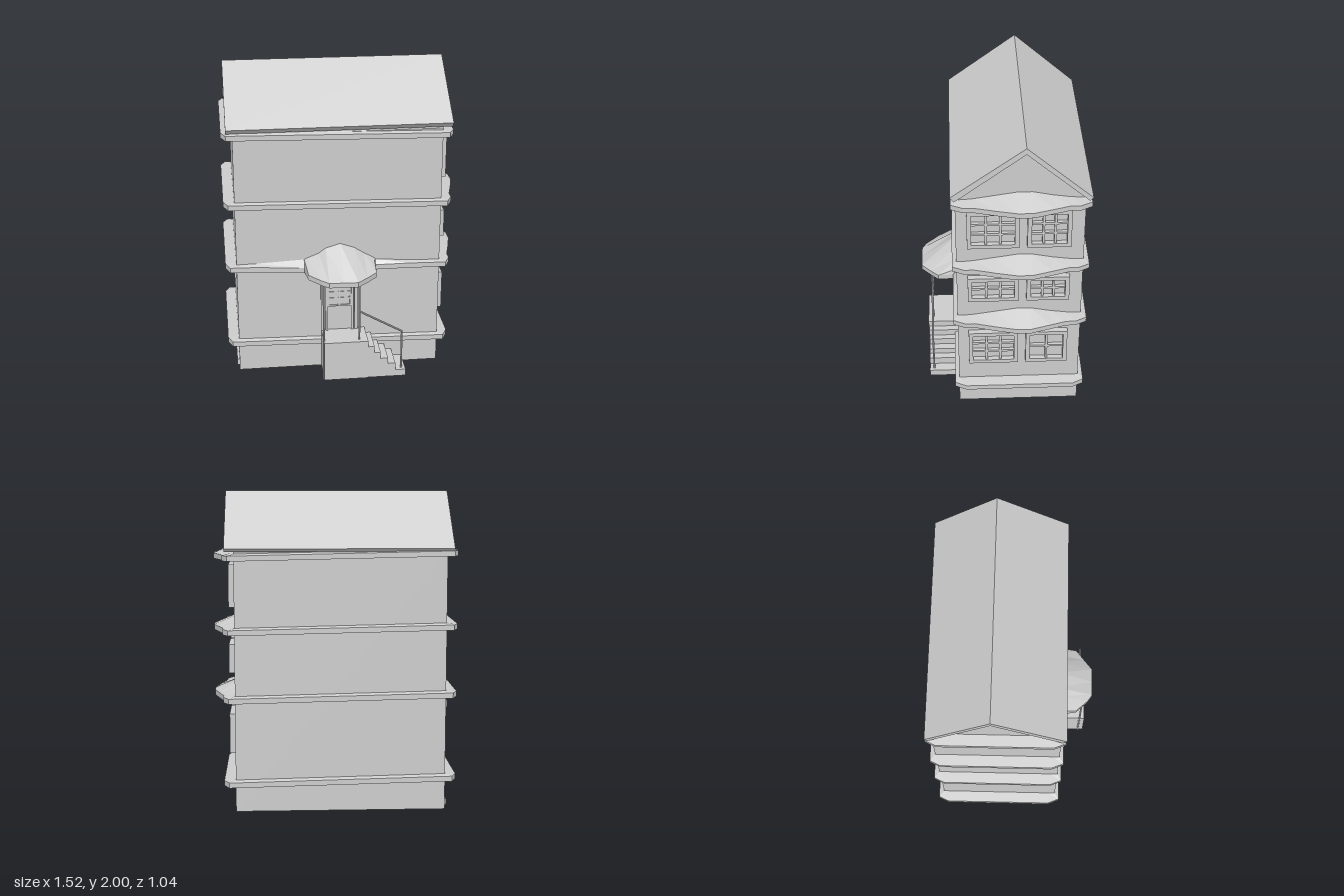
import * as THREE from 'three';

const mat = new THREE.MeshStandardMaterial({ color: 0xcccccc, flatShading: true, side: THREE.DoubleSide });
const WALL = { x0: -0.695, x1: 0.617, z0: -0.487, z1: 0.287 };

function add(parent, name, geo) {
  const m = new THREE.Mesh(geo, mat);
  m.name = name;
  parent.add(m);
  return m;
}

// Box given by its minimum and maximum corners
function box(parent, name, x0, x1, y0, y1, z0, z1) {
  const m = add(parent, name, new THREE.BoxGeometry(x1 - x0, y1 - y0, z1 - z0));
  m.position.set((x0 + x1) / 2, (y0 + y1) / 2, (z0 + z1) / 2);
  return m;
}

// Side profile of [z, y] points, extruded along x
function extrudeX(parent, name, pts, x0, x1) {
  const shape = new THREE.Shape(pts.map(([z, y]) => new THREE.Vector2(-z, y)));
  const geo = new THREE.ExtrudeGeometry(shape, { depth: x1 - x0, bevelEnabled: false });
  geo.rotateY(Math.PI / 2).translate(x0, 0, 0);
  return add(parent, name, geo);
}

// Ledge swept around the house; stations are [x, z, wall rise, rim drop]
function ledge(parent, name, stations, y, thick = 0.033) {
  const rings = stations.map(([x, z, rise = 0.01, drop = 0]) => {
    const wx = THREE.MathUtils.clamp(x, WALL.x0, WALL.x1);
    const wz = THREE.MathUtils.clamp(z, WALL.z0, WALL.z1);
    const tilt = (px) => y - 0.02 * px;
    const top = tilt(x) - drop;
    return [[wx, tilt(wx) + rise, wz], [x, top, z], [x, top - thick, z], [wx, tilt(wx) - thick, wz]];
  });
  const pos = [];
  rings.forEach((a, i) => {
    const b = rings[(i + 1) % rings.length];
    for (let k = 0; k < 3; k++) pos.push(...a[k], ...a[k + 1], ...b[k + 1], ...a[k], ...b[k + 1], ...b[k]);
  });
  const geo = new THREE.BufferGeometry();
  geo.setAttribute('position', new THREE.Float32BufferAttribute(pos, 3));
  geo.computeVertexNormals();
  return add(parent, name, geo);
}

// Frame with a grid of glazing bars, built in the xy plane facing +z
function gridWindow(parent, name, w, h, cols, rows, border, depth) {
  const g = new THREE.Group();
  g.name = name;
  const shape = new THREE.Shape([[-1, -1], [1, -1], [1, 1], [-1, 1]].map(([a, b]) => new THREE.Vector2(a * w / 2, b * h / 2)));
  const iw = w - 2 * border, ih = h - 2 * border;
  shape.holes.push(new THREE.Path([[-1, -1], [-1, 1], [1, 1], [1, -1]].map(([a, b]) => new THREE.Vector2(a * iw / 2, b * ih / 2))));
  add(g, 'windowFrame', new THREE.ExtrudeGeometry(shape, { depth, bevelEnabled: false }));
  box(g, 'pane', -iw / 2, iw / 2, -ih / 2, ih / 2, 0, 0.004);
  const t = 0.007;
  for (let i = 1; i < cols; i++) {
    const x = -iw / 2 + (iw * i) / cols;
    box(g, 'verticalBar', x - t, x + t, -ih / 2, ih / 2, 0.004, depth * 0.75);
  }
  for (let i = 1; i < rows; i++) {
    const y = -ih / 2 + (ih * i) / rows;
    box(g, 'horizontalBar', -iw / 2, iw / 2, y - t, y + t, 0.004, depth * 0.7);
  }
  parent.add(g);
  return g;
}

// Round bar between two points
function rod(parent, name, a, b, r) {
  const p = new THREE.Vector3(...a), q = new THREE.Vector3(...b);
  const m = add(parent, name, new THREE.CylinderGeometry(r, r, p.distanceTo(q), 8));
  m.position.copy(p).add(q).multiplyScalar(0.5);
  m.quaternion.setFromUnitVectors(new THREE.Vector3(0, 1, 0), q.sub(p).normalize());
  return m;
}

export function createModel() {
  const house = new THREE.Group();
  house.name = 'house';

  // Walls with gables, and the pitched roof slab
  extrudeX(house, 'walls', [[0.287, 0.01], [0.287, 1.635], [-0.125, 1.95], [-0.487, 1.635], [-0.487, 0.01]], WALL.x0, WALL.x1);
  extrudeX(house, 'roof', [[0.315, 1.675], [-0.128, 2], [-0.522, 1.655], [-0.5, 1.635], [-0.128, 1.96], [0.29, 1.645]], -0.735, 0.675);

  // Ledges: plain at the base, with a canopy over the windows above
  const frontLeft = [[-0.765, 0.24], [-0.735, 0.313]];
  const frontRight = [[0.655, 0.313], [0.69, 0.24]];
  const back = [[0.69, -0.45], [0.655, -0.52], [-0.735, -0.52], [-0.765, -0.455]];
  const canopy = [[0.69, 0.18, 0.015], [0.725, 0.05, 0.035], [0.755, -0.08, 0.055], [0.755, -0.17, 0.055], [0.72, -0.29, 0.03], [0.69, -0.39, 0.015]];
  const porchRoof = [
    [-0.57, 0.313, 0.015], [-0.262, 0.313, 0.035, 0.015], [-0.245, 0.41, 0.045, 0.02], [-0.17, 0.49, 0.075, 0.025],
    [-0.125, 0.52, 0.11, 0.03], [-0.03, 0.52, 0.14, 0.03], [0.06, 0.52, 0.11, 0.03], [0.125, 0.465, 0.07, 0.025],
    [0.19, 0.41, 0.035, 0.015], [0.198, 0.313, 0.025, 0.005], [0.42, 0.313, 0.012],
  ];
  ledge(house, 'baseLedge', [...frontLeft, ...frontRight, ...back], 0.215);
  ledge(house, 'porchLedge', [...frontLeft, ...porchRoof, ...frontRight, ...canopy, ...back], 0.745);
  ledge(house, 'middleLedge', [...frontLeft, ...frontRight, ...canopy, ...back], 1.17);
  ledge(house, 'upperLedge', [...frontLeft, ...frontRight, ...canopy, ...back], 1.625);

  // Side windows: [y0, y1, [columns, rows] of each]
  const floors = [[0.365, 0.617, [3, 3], [2, 2]], [0.878, 1.057, [3, 2], [3, 2]], [1.287, 1.552, [3, 3], [3, 3]]];
  for (const [y0, y1, ...grids] of floors) {
    [[-0.093, 0.22], [-0.406, -0.142]].forEach(([z0, z1], i) => {
      const w = gridWindow(house, 'sideWindow', z1 - z0, y1 - y0, ...grids[i], 0.026, 0.037);
      w.rotation.y = Math.PI / 2;
      w.position.set(WALL.x1, (y0 + y1) / 2, (z0 + z1) / 2);
    });
  }

  // Trim strips on the plain side
  for (const y of [0.02, 0.655]) box(house, 'sideTrim', -0.71, WALL.x0, y, y + 0.042, -0.44, 0.24);

  // Porch platform and stairs
  box(house, 'porchPlatform', -0.155, 0.13, 0.01, 0.278, 0.28, 0.49);
  const steps = [[0.172, 0.235], [0.212, 0.19], [0.262, 0.145], [0.31, 0.105], [0.378, 0.055]];
  let x = 0.13;
  for (const [x1, top] of steps) {
    box(house, 'step', x, x1, 0.01, top, 0.28, 0.485);
    x = x1;
  }

  // Door with frame, glazing and transom
  const door = new THREE.Group();
  door.name = 'door';
  house.add(door);
  box(door, 'doorPanel', -0.112, 0.04, 0.278, 0.635, 0.28, 0.296);
  for (const sx of [-0.127, 0.04]) box(door, 'doorJamb', sx, sx + 0.015, 0.278, 0.67, 0.28, 0.31);
  box(door, 'transom', -0.112, 0.04, 0.635, 0.67, 0.28, 0.31);
  gridWindow(door, 'doorWindow', 0.155, 0.15, 2, 3, 0.01, 0.012).position.set(-0.036, 0.525, 0.296);
  for (const px of [-0.147, 0.072]) box(door, 'wallPost', px - 0.01, px + 0.01, 0.278, 0.7, 0.28, 0.306);

  // Porch posts and handrail
  rod(house, 'porchPost', [-0.155, 0, 0.456], [-0.155, 0.72, 0.456], 0.006);
  rod(house, 'porchPost', [0.075, 0.278, 0.456], [0.075, 0.72, 0.456], 0.006);
  rod(house, 'railPost', [0.352, 0.01, 0.456], [0.352, 0.32, 0.456], 0.006);
  rod(house, 'handrail', [0.075, 0.48, 0.456], [0.355, 0.32, 0.456], 0.007);

  return house;
}
